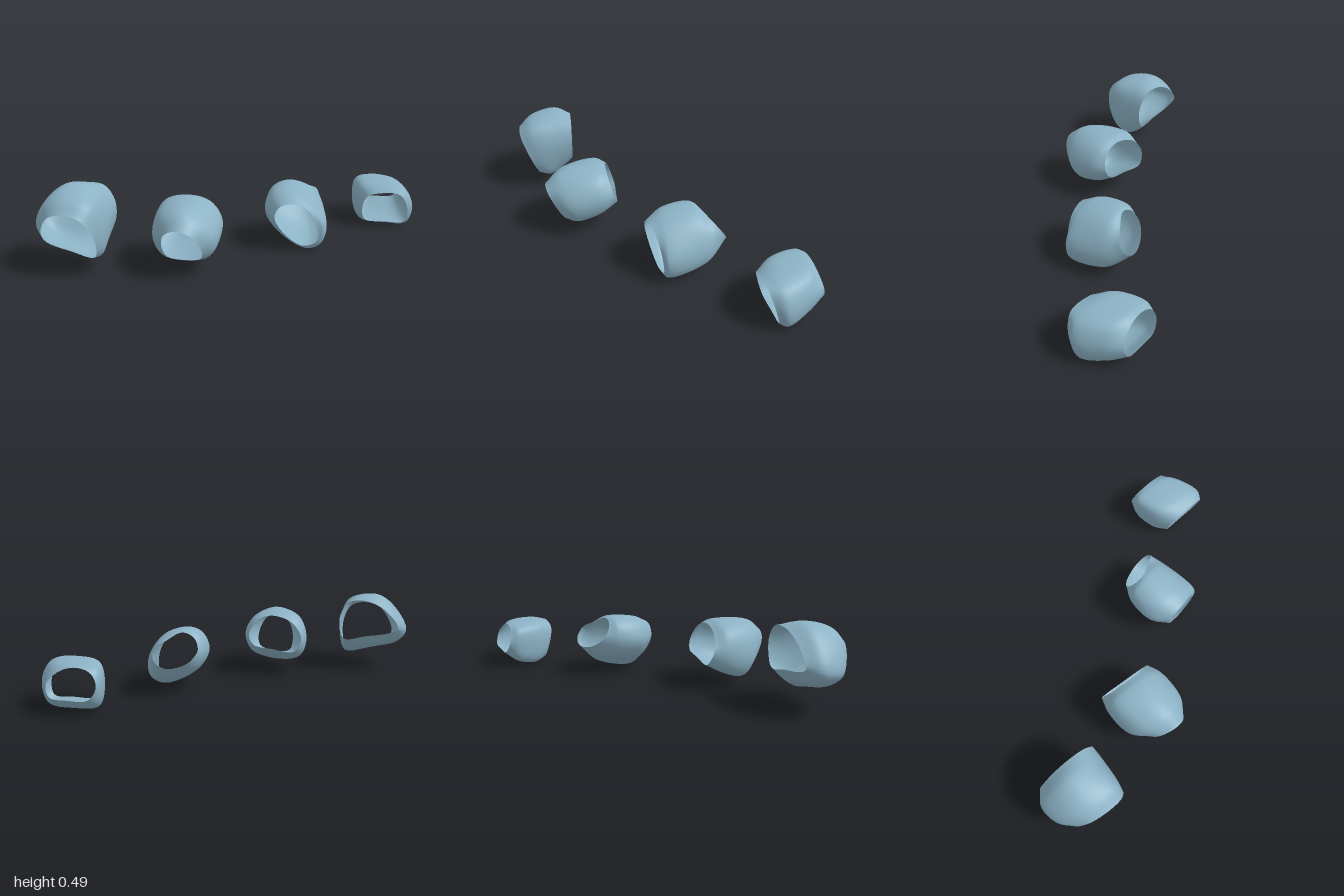
import * as THREE from 'three';

const AROUND = 48, ALONG = 24;

// A section: eight [x, y] corners, clockwise from the -x side, on a tilted plane.
// z = z0 at the centre, changing by slopeX and slopeY across the section.
function section(corners, z0, slopeX, slopeY) {
  const cx = corners.reduce((s, p) => s + p[0], 0) / corners.length;
  const cy = corners.reduce((s, p) => s + p[1], 0) / corners.length;
  const pts = corners.map(([x, y]) =>
    new THREE.Vector3(x, y, z0 + slopeX * (x - cx) + slopeY * (y - cy)));
  const curve = new THREE.CatmullRomCurve3(pts, true);
  return Array.from({ length: AROUND }, (_, i) => curve.getPoint(i / AROUND));
}

// Smooth open sleeve lofted through the sections from front rim to back rim
function sleeve(name, sections, material) {
  const positions = [], index = [];
  const lines = Array.from({ length: AROUND }, (_, i) =>
    new THREE.CatmullRomCurve3(sections.map(s => s[i])));
  for (let j = 0; j <= ALONG; j++) {
    for (const line of lines) positions.push(...line.getPoint(j / ALONG).toArray());
  }
  for (let j = 0; j < ALONG; j++) {
    for (let i = 0; i < AROUND; i++) {
      const a = j * AROUND + i, b = j * AROUND + (i + 1) % AROUND;
      index.push(a, b, a + AROUND, b, b + AROUND, a + AROUND);
    }
  }
  const geometry = new THREE.BufferGeometry();
  geometry.setAttribute('position', new THREE.Float32BufferAttribute(positions, 3));
  // Outward winding: the loops run clockwise seen from +z and advance to -z
  for (let k = 0; k < index.length; k += 3) [index[k + 1], index[k + 2]] = [index[k + 2], index[k + 1]];
  geometry.setIndex(index);
  geometry.computeVertexNormals();
  // Flip if the winding faces inward
  const n = geometry.attributes.normal, p = geometry.attributes.position;
  const mid = (ALONG / 2) * AROUND;
  let cx = 0;
  for (let i = 0; i < AROUND; i++) cx += p.getX(mid + i) / AROUND;
  if (n.getX(mid) * (p.getX(mid) - cx) < 0) {
    geometry.setIndex(index.reverse());
    geometry.computeVertexNormals();
  }
  const mesh = new THREE.Mesh(geometry, material);
  mesh.name = name;
  return mesh;
}

export function createModel() {
  const group = new THREE.Group();
  group.name = 'sleeves';
  const paleBlue = new THREE.MeshStandardMaterial({ color: 0x8cb2c5, side: THREE.DoubleSide });
  paleBlue.name = 'paleBlue';

  // Each sleeve: front rim, front body, rear body, back rim
  group.add(sleeve('firstSleeve', [
    section([[-.91, .23], [-.83, .36], [-.72, .39], [-.63, .36], [-.585, .24], [-.62, .11], [-.75, .135], [-.89, .18]], .725, 0, .4),
    section([[-.98, .25], [-.89, .4], [-.78, .45], [-.62, .42], [-.575, .26], [-.61, .1], [-.76, .12], [-.93, .18]], .65, 0, .3),
    section([[-1, .27], [-.9, .43], [-.79, .49], [-.64, .45], [-.575, .31], [-.62, .14], [-.75, .155], [-.94, .19]], .53, 0, .05),
    section([[-.95, .29], [-.87, .4], [-.75, .46], [-.64, .45], [-.58, .35], [-.61, .21], [-.74, .23], [-.9, .26]], .445, 0, -.03),
  ], paleBlue));

  group.add(sleeve('secondSleeve', [
    section([[-.265, .18], [-.23, .27], [-.15, .31], [-.08, .29], [-.035, .2], [-.05, .12], [-.15, .09], [-.25, .1]], .57, 0, .55),
    section([[-.35, .19], [-.29, .33], [-.16, .38], [-.05, .33], [.015, .22], [-.02, .11], [-.17, .06], [-.31, .08]], .49, 0, .3),
    section([[-.38, .23], [-.33, .36], [-.17, .4], [-.05, .36], [.01, .25], [-.03, .14], [-.18, .1], [-.34, .12]], .32, 0, 0),
    section([[-.36, .25], [-.3, .34], [-.17, .38], [-.08, .35], [-.03, .26], [-.06, .2], [-.18, .18], [-.32, .17]], .23, 0, .3),
  ], paleBlue));

  group.add(sleeve('thirdSleeve', [
    section([[.25, .22], [.28, .29], [.35, .31], [.43, .28], [.49, .18], [.49, .07], [.41, .04], [.31, .11]], .05, -.25, .1),
    section([[.17, .22], [.21, .32], [.29, .35], [.42, .31], [.53, .17], [.51, .05], [.42, .01], [.24, .11]], -.01, 0, 0),
    section([[.15, .24], [.18, .33], [.27, .37], [.4, .33], [.48, .2], [.47, .1], [.39, .06], [.2, .14]], -.2, -.2, .1),
    section([[.18, .26], [.21, .33], [.28, .36], [.36, .32], [.42, .28], [.41, .22], [.34, .18], [.23, .2]], -.285, -.35, .7),
  ], paleBlue));

  group.add(sleeve('fourthSleeve', [
    section([[.69, .11], [.72, .21], [.81, .245], [.92, .24], [.97, .14], [.95, .04], [.84, .03], [.71, .035]], -.48, -.1, .3),
    section([[.63, .12], [.66, .25], [.78, .275], [.94, .25], [.995, .14], [.96, .02], [.82, .005], [.66, .02]], -.55, 0, .15),
    section([[.59, .15], [.61, .25], [.71, .28], [.87, .26], [.93, .16], [.9, .05], [.76, .03], [.62, .05]], -.69, 0, 0),
    section([[.6, .17], [.63, .24], [.71, .27], [.8, .25], [.87, .18], [.85, .115], [.75, .1], [.64, .105]], -.76, -.1, .25),
  ], paleBlue));

  return group;
}
